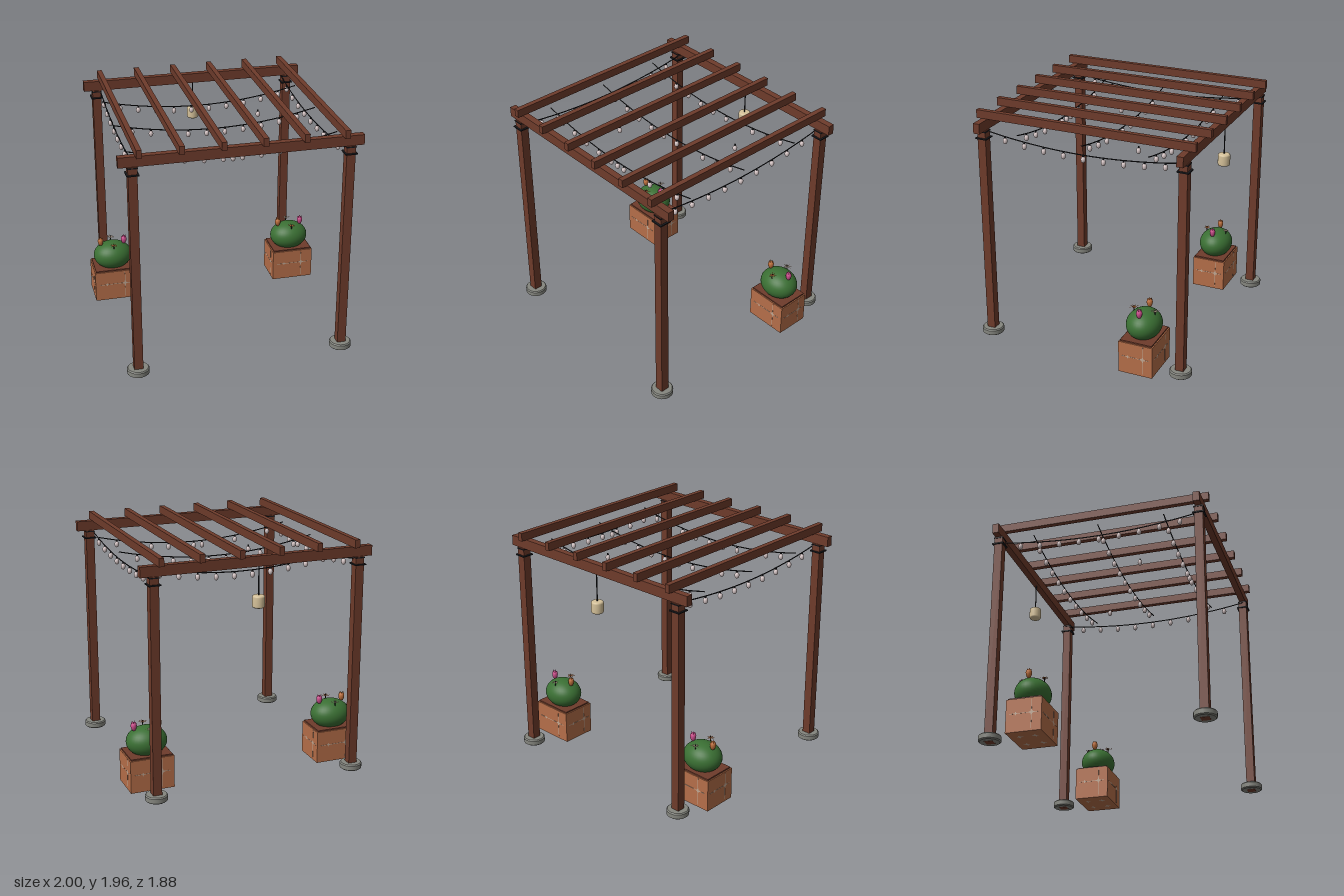
import * as THREE from 'three';

const mat = (name, color) => {
  const m = new THREE.MeshStandardMaterial({ color });
  m.name = name;
  return m;
};

export function createModel() {
  const wood = mat('red brown wood', 0x6e3b2b);
  const black = mat('black wire', 0x1b1c20);
  const stone = mat('grey stone', 0x85867f);
  const glass = mat('pale bulb glass', 0xd6c6c6);
  const cream = mat('cream lantern', 0xd6c29a);
  const clay = mat('terracotta', 0xb56e49);
  const pale = mat('pale glaze', 0xc0a894);
  pale.side = THREE.DoubleSide;
  const green = mat('cactus green', 0x3a6f33);
  const pink = mat('pink bloom', 0xcf4f8e);
  const orange = mat('orange bloom', 0xc0703c);
  orange.side = THREE.DoubleSide;

  const model = new THREE.Group();
  model.name = 'pergola';
  const add = (parent, name, geo, material, x = 0, y = 0, z = 0) => {
    const mesh = new THREE.Mesh(geo, material);
    mesh.name = name;
    mesh.position.set(x, y, z);
    parent.add(mesh);
    return mesh;
  };
  const box = (parent, name, w, h, d, material, x, y, z) =>
    add(parent, name, new THREE.BoxGeometry(w, h, d), material, x, y, z);
  const lathe = (pts, n) => new THREE.LatheGeometry(pts.map(p => new THREE.Vector2(...p)), n);

  // Posts with round stone feet and dark wire ties
  const footGeo = lathe([[0, 0.002], [0.08, 0.002], [0.08, 0.002], [0.09, 0.01], [0.09, 0.01],
    [0.09, 0.047], [0.09, 0.047], [0.082, 0.056], [0.082, 0.056], [0, 0.056]], 24);
  for (const x of [-0.852, 0.852]) for (const z of [-0.85, 0.85]) {
    box(model, 'post', 0.072, 1.81, 0.07, wood, x, 0.905, z);
    add(model, 'foot', footGeo, stone, x, 0, z);
    box(model, 'postTie', 0.098, 0.01, 0.098, black, x, 1.745, z);
    box(model, 'postTieUpper', 0.08, 0.008, 0.08, black, x, 1.8, z);
  }

  // Two long beams and six rafters across them
  for (const z of [-0.85, 0.85]) box(model, 'beam', 1.92, 0.083, 0.054, wood, 0, 1.85, z);
  for (let i = 0; i < 6; i++)
    box(model, 'rafter', 0.042, 0.067, 1.845, wood, -0.807 + i * 0.3228, 1.923, 0);

  // Sagging light strings with egg-shaped bulbs
  const bulbGeo = new THREE.SphereGeometry(0.019, 14, 10);
  bulbGeo.scale(1, 1.42, 1);
  const capGeo = new THREE.CylinderGeometry(0.006, 0.008, 0.014, 8);
  const bulb = (x, y, z) => {
    add(model, 'bulb', bulbGeo, glass, x, y, z);
    add(model, 'bulbCap', capGeo, black, x, y + 0.03, z);
  };
  const string = (low, high, place, stops) => {
    const sag = t => low + (high - low) * (t / 0.85) ** 2;
    const pts = [];
    for (let i = 0; i <= 12; i++) {
      const t = -0.85 + i * 1.7 / 12;
      pts.push(new THREE.Vector3(...place(t, sag(t))));
    }
    const curve = new THREE.CatmullRomCurve3(pts);
    add(model, 'lightString', new THREE.TubeGeometry(curve, 32, 0.0045, 6), black);
    stops.forEach(t => bulb(...place(t, sag(t) - 0.036)));
  };
  const tenStops = Array.from({ length: 10 }, (_, i) => -0.695 + i * 0.1545);
  const nineStops = Array.from({ length: 9 }, (_, i) => -0.68 + i * 0.17);
  for (const z of [-0.555, 0, 0.555])
    string(1.698, 1.802, (t, y) => [t, y, z], z > 0.5 ? [...tenStops, 0] : tenStops);
  for (const x of [-0.815, 0.815]) string(1.717, 1.79, (t, y) => [x, y, t], nineStops);
  bulb(-0.372, 1.67, 0.22);
  bulb(0.443, 1.67, -0.3);

  // Lantern hanging from the back beam
  add(model, 'lanternCord', new THREE.CylinderGeometry(0.005, 0.005, 0.25, 8), black, 0, 1.69, -0.852);
  add(model, 'lantern', lathe([[0, 1.478], [0.038, 1.478], [0.047, 1.483], [0.05, 1.493],
    [0.05, 1.562], [0.047, 1.572], [0.038, 1.577], [0, 1.577]], 24), cream, 0, 0, -0.852);

  // Four-pointed star and flat daisy outlines
  const starShape = new THREE.Shape();
  for (let i = 0; i < 8; i++) {
    const r = i % 2 ? 0.012 : 0.032, a = i * Math.PI / 4;
    starShape[i ? 'lineTo' : 'moveTo'](r * Math.cos(a), r * Math.sin(a));
  }
  const starGeo = new THREE.ShapeGeometry(starShape);
  const daisyShape = new THREE.Shape();
  for (let i = 0; i < 16; i++) {
    const r = i % 2 ? 0.013 : 0.04, a = i * Math.PI / 8;
    daisyShape[i ? 'lineTo' : 'moveTo'](r * Math.cos(a), r * Math.sin(a));
  }
  const daisyGeo = new THREE.ShapeGeometry(daisyShape).rotateX(-Math.PI / 2);

  // Bud with a crown of small points
  const budGeo = lathe([[0, -0.04], [0.014, -0.036], [0.023, -0.015], [0.025, 0.005],
    [0.021, 0.022], [0.012, 0.03], [0, 0.032]], 14);
  const tipGeo = new THREE.ConeGeometry(0.005, 0.022, 5);
  const bud = (parent, x, material) => {
    const g = new THREE.Group();
    g.name = 'bud';
    g.position.set(x, 0.512, 0);
    add(g, 'budBody', budGeo, material);
    for (let i = 0; i < 5; i++) {
      const a = i * Math.PI * 2 / 5;
      add(g, 'budTip', tipGeo, material, 0.015 * Math.cos(a), 0.031, 0.015 * Math.sin(a));
    }
    parent.add(g);
  };

  // Painted stars and thin lines on one planter face, in that face's own plane
  const paintFace = (parent, width, depth, turn) => {
    const face = new THREE.Group();
    face.name = 'paintedFace';
    face.rotation.y = turn;
    const s = width * 0.22, z = depth / 2 + 0.0015;
    add(face, 'glazeStar', starGeo, pale, s, 0.15, z);
    add(face, 'glazeStar', starGeo, pale, -s, 0.15, z).scale.set(0.8, 0.5, 1);
    box(face, 'glazeLine', width * 0.8, 0.004, 0.002, pale, 0, 0.15, z - 0.001);
    box(face, 'glazeLine', 0.004, 0.24, 0.002, pale, s, 0.14, z - 0.001);
    parent.add(face);
  };

  // Planters, each with a round cactus
  const bodyGeo = new THREE.SphereGeometry(1, 36, 22);
  bodyGeo.scale(0.168, 0.124, 0.143);
  for (const x of [-0.817, 0.817]) {
    const planter = new THREE.Group();
    planter.name = 'planter';
    planter.position.set(x, 0, -0.52);
    model.add(planter);
    box(planter, 'pot', 0.366, 0.272, 0.29, clay, 0, 0.136, 0);
    box(planter, 'soil', 0.346, 0.014, 0.27, wood, 0, 0.277, 0);
    for (let i = 0; i < 4; i++)
      paintFace(planter, i % 2 ? 0.29 : 0.366, i % 2 ? 0.366 : 0.29, i * Math.PI / 2);
    for (const sx of [-0.08, 0.08]) for (const sz of [-0.065, 0.065]) {
      const mark = add(planter, 'baseStar', starGeo, pale, sx, -0.0, sz);
      mark.position.y = -0.0015;
      mark.rotation.x = Math.PI / 2;
    }
    add(planter, 'cactus', bodyGeo, green, 0, 0.375, 0);
    bud(planter, -0.104, orange);
    bud(planter, 0.104, pink);
    for (const [z, m] of [[0.09, orange], [-0.09, pale]]) {
      add(planter, 'flowerStem', new THREE.CylinderGeometry(0.004, 0.004, 0.05, 6), black, 0, 0.487, z);
      add(planter, 'flower', daisyGeo, m, 0, 0.503, z);
    }
  }
  return model;
}
